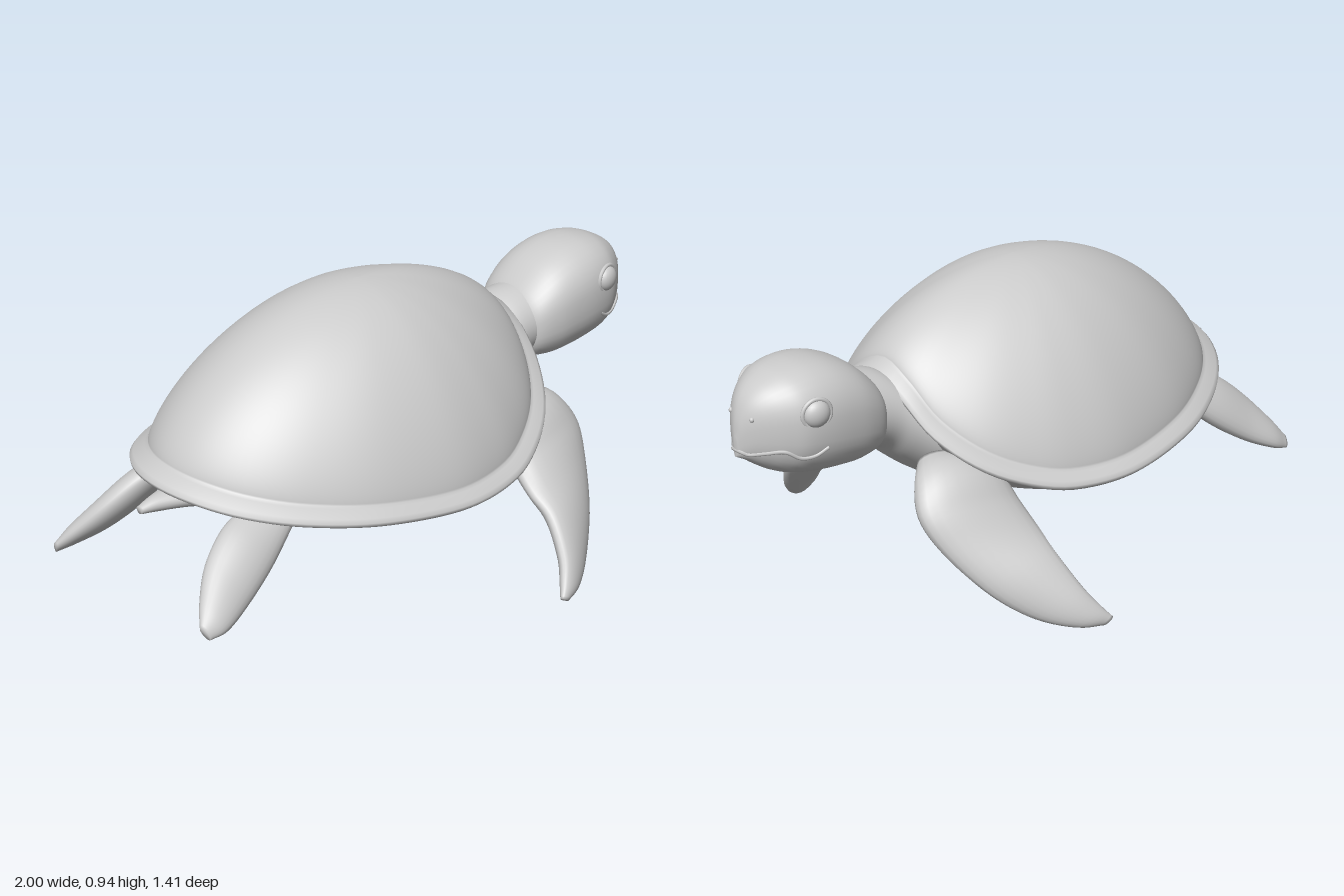
import * as THREE from 'three';

const V = (x, y, z) => new THREE.Vector3(x, y, z);
const spline = (pts, closed = false) => new THREE.CatmullRomCurve3(pts, closed, 'catmullrom');
const material = new THREE.MeshStandardMaterial({ color: 0xcccccc, side: THREE.DoubleSide });

function mesh(name, geometry) {
  const m = new THREE.Mesh(geometry, material);
  m.name = name;
  return m;
}

// Skins a row of closed rings; the winding is turned so that faces point outward.
function skin(name, rings) {
  const n = rings[0].length, pts = rings.flat(), index = [];
  const mid = pts.reduce((a, p) => a.add(p), V(0, 0, 0)).divideScalar(pts.length);
  for (let i = 0; i < rings.length - 1; i++) {
    for (let j = 0; j < n; j++) {
      const a = i * n + j, b = i * n + (j + 1) % n;
      index.push(a, b, a + n, b, b + n, a + n);
    }
  }
  let volume = 0;
  for (let i = 0; i < index.length; i += 3) {
    const [a, b, c] = [0, 1, 2].map(k => pts[index[i + k]].clone().sub(mid));
    volume += a.dot(b.cross(c));
  }
  if (volume < 0) index.reverse();
  const g = new THREE.BufferGeometry().setFromPoints(pts);
  g.setIndex(index);
  g.computeVertexNormals();
  return mesh(name, g);
}

// Flat limb: each row is leading edge xyz, trailing edge xyz, half thickness.
function limb(name, rows, side = 1, drop = 0, steps = 36, sides = 24) {
  const lead = spline(rows.map(r => V(r[0], r[1], r[2] * side)));
  const trail = spline(rows.map(r => V(r[3], r[4], r[5] * side)));
  const thick = spline(rows.map((r, i) => V(r[6], i, 0)));
  const middle = t => lead.getPoint(t).add(trail.getPoint(t)).multiplyScalar(0.5);
  const rings = [];
  for (let i = 0; i <= steps; i++) {
    const t = i / steps, c = middle(t);
    const chord = lead.getPoint(t).sub(c);
    const axis = middle(Math.min(1, t + 0.02)).sub(middle(Math.max(0, t - 0.02)));
    const normal = chord.clone().cross(axis).normalize().multiplyScalar(thick.getPoint(t).x);
    const ring = [];
    for (let j = 0; j < sides; j++) {
      const a = j / sides * Math.PI * 2;
      const p = c.clone().addScaledVector(chord, Math.cos(a)).addScaledVector(normal, Math.sin(a));
      p.y -= drop * t;
      ring.push(p);
    }
    rings.push(ring);
  }
  const cap = t => Array.from({ length: sides }, () => middle(t).sub(V(0, drop * t, 0)));
  return skin(name, [cap(0), ...rings, cap(1)]);
}

// Shell rim: half outline from tail to neck, mirrored
const half = [[-0.89, 0.51, 0], [-0.86, 0.50, 0.14], [-0.77, 0.475, 0.28], [-0.62, 0.445, 0.40],
  [-0.4, 0.415, 0.50], [-0.12, 0.39, 0.545], [0.1, 0.395, 0.515], [0.25, 0.43, 0.45],
  [0.37, 0.49, 0.36], [0.45, 0.575, 0.24], [0.475, 0.67, 0.12], [0.475, 0.715, 0]];
const other = half.slice(1, -1).reverse().map(([x, y, z]) => [x, y, -z]);
const rim = spline([...half, ...other].map(p => V(...p)), true).getSpacedPoints(112).slice(0, -1);
const CX = -0.1;
const rimRing = (scale, height) =>
  rim.map(p => V(CX + (p.x - CX) * scale, height(p.y), p.z * scale));

function shell() {
  const rings = [];
  for (let i = 0; i <= 28; i++) {
    const r = Math.sin(i / 28 * Math.PI / 2);
    const k = Math.pow(Math.max(0, 1 - r * r), 0.75);
    rings.push(rimRing(0.92 * r, y => y + 0.035 + (0.95 - y - 0.035) * k));
  }
  // flared border and its rolled edge
  rings.push(rimRing(0.935, y => y + 0.03), rimRing(0.985, y => y + 0.012), rimRing(1, y => y),
    rimRing(0.998, y => y - 0.01), rimRing(0.98, y => y - 0.018), rimRing(0.92, y => y - 0.022));
  return skin('shell', rings);
}

function belly() {
  const rings = [];
  for (let i = 0; i <= 20; i++) {
    const r = 1 - i / 20;
    rings.push(rimRing(0.95 * r, y => 0.265 + (y - 0.01 - 0.265) * r ** 3));
  }
  return skin('belly', rings);
}

// Head and neck sections: x, top, bottom, half width
const headRows = [[0.50, 0.66, 0.56, 0.05], [0.515, 0.70, 0.53, 0.10], [0.55, 0.75, 0.502, 0.145],
  [0.62, 0.81, 0.49, 0.17], [0.70, 0.845, 0.494, 0.178], [0.78, 0.856, 0.505, 0.175],
  [0.85, 0.848, 0.52, 0.16], [0.90, 0.83, 0.54, 0.13], [0.94, 0.805, 0.565, 0.095],
  [0.97, 0.77, 0.588, 0.06], [0.99, 0.72, 0.60, 0.028], [1.0, 0.66, 0.605, 0.008]];
const neckRows = [[0.15, 0.60, 0.29, 0.30], [0.25, 0.62, 0.305, 0.27], [0.35, 0.66, 0.36, 0.22],
  [0.44, 0.71, 0.43, 0.165], [0.50, 0.735, 0.485, 0.14], [0.60, 0.75, 0.52, 0.13]];

function sections(rows, steps) {
  const top = spline(rows.map(r => V(r[0], r[1], r[3]))).getPoints(steps);
  const low = spline(rows.map(r => V(r[0], r[2], r[3]))).getPoints(steps);
  return top.map((p, i) => ({ x: p.x, y: (p.y + low[i].y) / 2, h: (p.y - low[i].y) / 2, w: p.z }));
}

function barrel(name, list, power, sides = 40) {
  const bend = v => Math.sign(v) * Math.abs(v) ** (2 / power);
  const rings = list.map(s => Array.from({ length: sides }, (_, j) => {
    const a = j / sides * Math.PI * 2;
    return V(s.x, s.y + s.h * bend(Math.sin(a)), s.w * bend(Math.cos(a)));
  }));
  const cap = s => Array.from({ length: sides }, () => V(s.x, s.y, 0));
  return skin(name, [cap(list[0]), ...rings, cap(list[list.length - 1])]);
}

function head() {
  const group = new THREE.Group();
  group.name = 'head';
  const list = sections(headRows, 66), power = 2.4;
  group.add(barrel('skull', list, power));
  const surfaceZ = (x, y) => {
    const s = list.reduce((a, b) => (Math.abs(b.x - x) < Math.abs(a.x - x) ? b : a));
    const v = Math.min(0.97, Math.abs(y - s.y) / s.h);
    return s.w * (1 - v ** power) ** (1 / power);
  };

  // Mouth line wrapping round the beak
  const lip = [[0.79, 0.627], [0.83, 0.607], [0.87, 0.607], [0.91, 0.632], [0.95, 0.625],
    [0.98, 0.617], [0.994, 0.625]].map(([x, y]) => V(x, y, surfaceZ(x, y)));
  const path = [...lip, ...lip.slice().reverse().map(p => V(p.x, p.y, -p.z))];
  group.add(mesh('mouth', new THREE.TubeGeometry(new THREE.CatmullRomCurve3(path), 80, 0.006, 6)));

  for (const s of [1, -1]) {
    const prefix = s > 0 ? 'left' : 'right';
    const eye = new THREE.Group();
    eye.name = prefix + 'Eye';
    const ball = mesh('eyeball', new THREE.SphereGeometry(0.042, 24, 16));
    ball.scale.z = 0.65;
    const lid = mesh('eyelid', new THREE.TorusGeometry(0.045, 0.007, 8, 32));
    eye.add(ball, lid);
    eye.position.set(0.822, 0.74, s * (surfaceZ(0.822, 0.74) - 0.006));
    eye.rotation.y = s > 0 ? 0.25 : Math.PI - 0.25;
    const nostril = mesh(prefix + 'Nostril', new THREE.SphereGeometry(0.008, 10, 8));
    nostril.position.set(0.972, 0.73, s * surfaceZ(0.972, 0.73) * 0.9);
    group.add(eye, nostril);
  }
  return group;
}

const frontRows = [[0.45, 0.47, 0.17, 0.27, 0.41, 0.22, 0.05], [0.52, 0.44, 0.235, 0.24, 0.40, 0.31, 0.068],
  [0.56, 0.36, 0.30, 0.225, 0.33, 0.38, 0.064], [0.53, 0.26, 0.375, 0.22, 0.27, 0.46, 0.055],
  [0.45, 0.14, 0.48, 0.225, 0.22, 0.54, 0.046], [0.35, 0.055, 0.57, 0.20, 0.13, 0.63, 0.036],
  [0.25, 0.018, 0.65, 0.165, 0.07, 0.675, 0.026], [0.17, 0.012, 0.69, 0.14, 0.035, 0.70, 0.012]];
const rearRows = [[-0.58, 0.39, 0.29, -0.70, 0.44, 0.19, 0.035], [-0.70, 0.30, 0.335, -0.80, 0.41, 0.22, 0.05],
  [-0.82, 0.235, 0.375, -0.89, 0.35, 0.265, 0.045], [-0.92, 0.205, 0.41, -0.96, 0.28, 0.33, 0.03],
  [-0.985, 0.20, 0.412, -1.0, 0.235, 0.385, 0.012]];
const tailRows = [[-0.68, 0.42, 0.10, -0.68, 0.42, -0.10, 0.04], [-0.78, 0.435, 0.065, -0.78, 0.435, -0.065, 0.035],
  [-0.87, 0.437, 0.033, -0.87, 0.437, -0.033, 0.026], [-0.935, 0.432, 0.014, -0.935, 0.432, -0.014, 0.012]];

export function createModel() {
  const turtle = new THREE.Group();
  turtle.name = 'turtle';
  turtle.add(shell(), belly(), barrel('neck', sections(neckRows, 30), 2), head());
  turtle.add(limb('leftFrontFlipper', frontRows, 1), limb('rightFrontFlipper', frontRows, -1));
  // the right rear flipper hangs a little lower
  turtle.add(limb('leftRearFlipper', rearRows, 1), limb('rightRearFlipper', rearRows, -1, 0.07));
  turtle.add(limb('tail', tailRows));
  return turtle;
}
